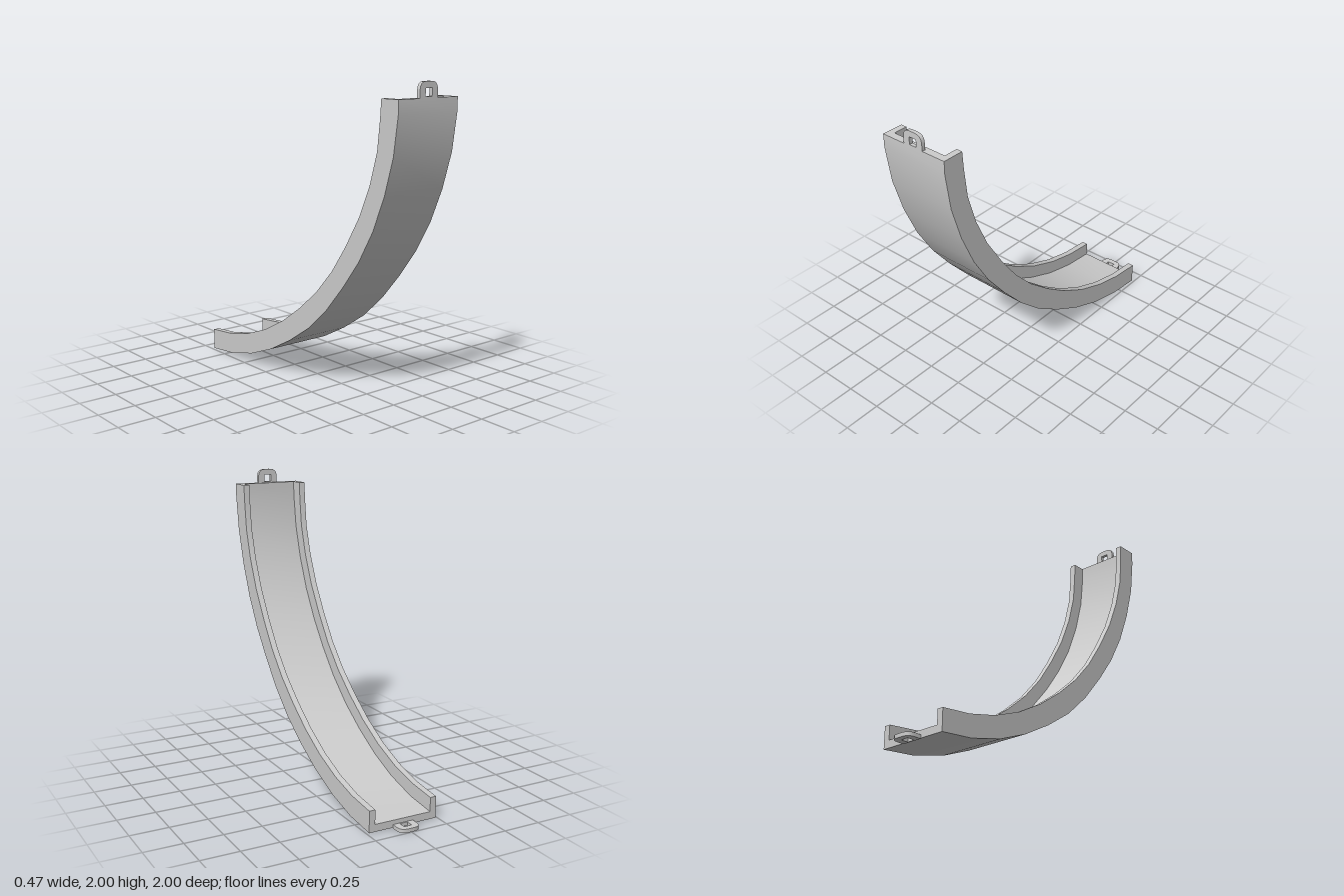
import * as THREE from 'three';
import { toCreasedNormals } from 'three/addons/utils/BufferGeometryUtils.js';

const material = new THREE.MeshStandardMaterial({ color: 0xcccccc });

// Side profile as [z, y], from the upper end down to the lower end
const outer = [[1, 1.905], [1, 1.82], [0.965, 1.58], [0.895, 1.35], [0.8, 1.13], [0.68, 0.93], [0.54, 0.75],
  [0.38, 0.57], [0.2, 0.41], [0, 0.28], [-0.21, 0.168], [-0.43, 0.082], [-0.67, 0.025], [-0.9, 0.004]];
const inner = [[0.86, 1.905], [0.852, 1.79], [0.83, 1.6], [0.77, 1.4], [0.68, 1.2], [0.56, 1.005], [0.43, 0.825],
  [0.28, 0.665], [0.11, 0.525], [-0.07, 0.4], [-0.27, 0.292], [-0.48, 0.213], [-0.69, 0.165], [-0.9, 0.145]];

// U section as [x, depth], depth 0 on the outer curve and 1 on the inner curve
const W = 0.236, w = 0.195, floor = 0.34;
const section = [[-W, 0], [W, 0], [W, 1], [w, 1], [w, floor], [-w, floor], [-w, 1], [-W, 1]];

function channelGeometry() {
  const pos = [], index = [], n = section.length, last = outer.length - 1;
  outer.forEach(([z, y], i) => {
    const [iz, iy] = inner[i];
    for (const [x, d] of section) pos.push(x, y + (iy - y) * d, z + (iz - z) * d);
  });
  for (let i = 0; i < last; i++) {
    for (let j = 0; j < n; j++) {
      const k = (j + 1) % n, a = i * n + j, b = i * n + k, c = b + n, d = a + n;
      index.push(a, d, c, a, c, b);
    }
  }
  // End caps
  const faces = THREE.ShapeUtils.triangulateShape(section.map(([x, d]) => new THREE.Vector2(x, d)), []);
  for (const [a, b, c] of faces) {
    index.push(a, b, c, last * n + a, last * n + c, last * n + b);
  }
  const geo = new THREE.BufferGeometry();
  geo.setAttribute('position', new THREE.Float32BufferAttribute(pos, 3));
  geo.setIndex(index);
  return toCreasedNormals(geo, 0.5);
}

// Flat eyelet with rounded corners and a rectangular hole, standing on y = 0
function eyeletGeometry() {
  const h = 0.095, r = 0.05, x = 0.071;
  const shape = new THREE.Shape();
  shape.moveTo(-x, 0);
  shape.lineTo(x, 0);
  shape.lineTo(x, h - r);
  shape.quadraticCurveTo(x, h, x - r, h);
  shape.lineTo(r - x, h);
  shape.quadraticCurveTo(-x, h, -x, h - r);
  shape.closePath();
  const hole = new THREE.Path();
  hole.moveTo(-0.026, 0.008);
  hole.lineTo(-0.026, 0.057);
  hole.lineTo(0.026, 0.057);
  hole.lineTo(0.026, 0.008);
  hole.closePath();
  shape.holes.push(hole);
  return toCreasedNormals(
    new THREE.ExtrudeGeometry(shape, { depth: 0.024, bevelEnabled: false, curveSegments: 4 }), 0.5);
}

export function createModel() {
  const model = new THREE.Group();
  model.name = 'curvedTrack';
  const add = (name, geometry) => {
    const mesh = new THREE.Mesh(geometry, material);
    mesh.name = name;
    model.add(mesh);
    return mesh;
  };

  add('channel', channelGeometry());

  // One connecting eyelet at each end
  add('upperEyelet', eyeletGeometry()).position.set(0, 1.905, 0.976);
  const lower = add('lowerEyelet', eyeletGeometry());
  lower.rotation.x = -Math.PI / 2;
  lower.position.set(0, 0, -0.9);
  return model;
}
